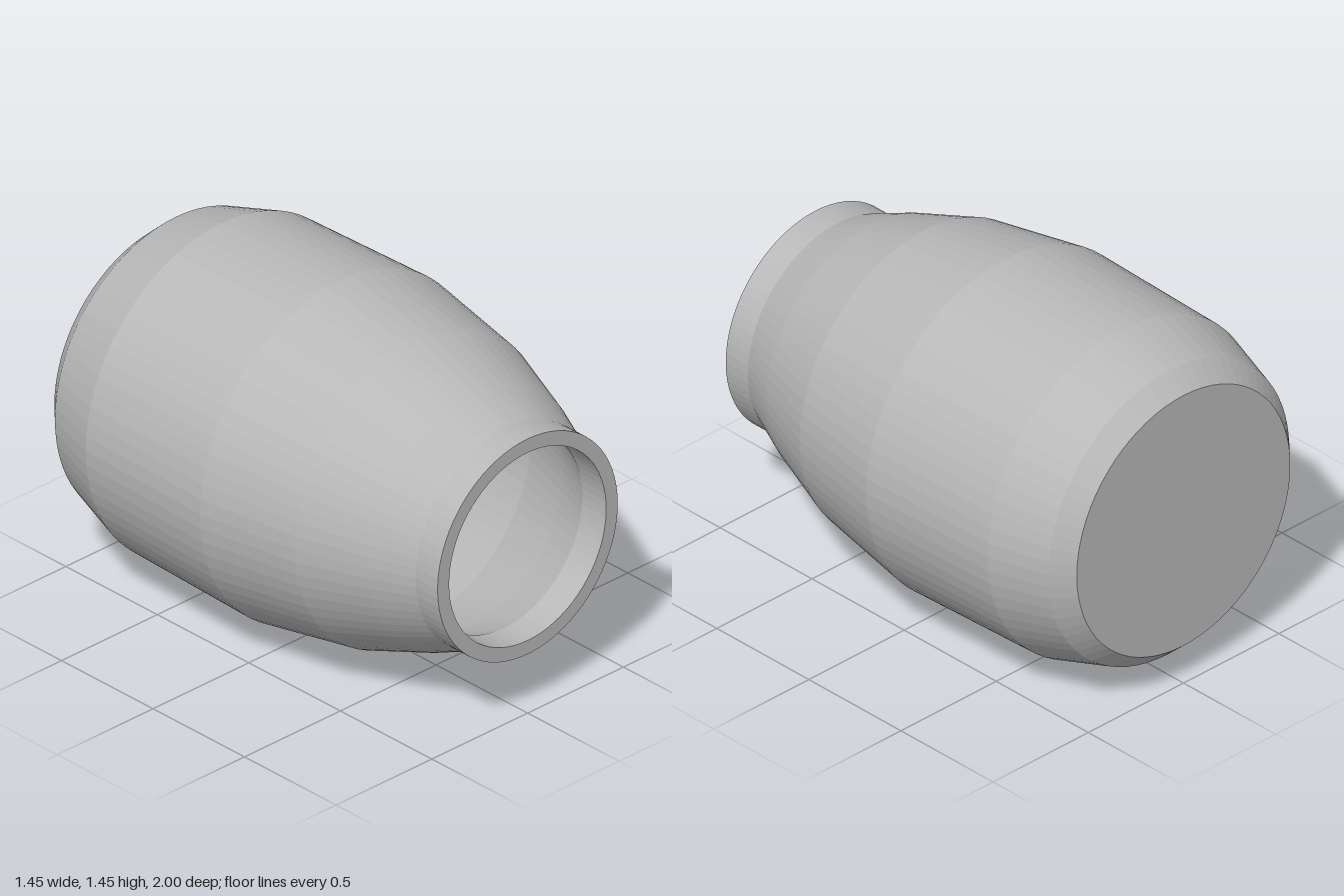
import * as THREE from 'three';

const SIDES = 72;
const CENTER_Y = 0.728;

// Faceted surface of revolution about the z axis, from [radius, z] pairs
function turned(name, profile, material) {
  const points = profile.map(([r, z]) => new THREE.Vector2(r, z));
  const geometry = new THREE.LatheGeometry(points, SIDES).toNonIndexed();
  geometry.rotateX(Math.PI / 2);
  geometry.computeVertexNormals();
  const mesh = new THREE.Mesh(geometry, material);
  mesh.name = name;
  mesh.position.y = CENTER_Y;
  return mesh;
}

export function createModel() {
  const grey = new THREE.MeshStandardMaterial({ color: 0xb8b8b8 });
  grey.name = 'plain grey';

  const group = new THREE.Group();
  group.name = 'barrelVessel';

  // Closed back with its chamfer, then the bulging wall up to the neck
  group.add(turned('outerShell', [
    [0, -1], [0.56, -1], [0.633, -0.92], [0.711, -0.67], [0.727, -0.03],
    [0.652, 0.41], [0.548, 0.7], [0.47, 0.88],
  ], grey));

  // Straight neck, flat rim and inside of the mouth
  group.add(turned('neck', [
    [0.47, 0.88], [0.47, 1], [0.41, 1], [0.41, 0.87],
  ], grey));

  // Hollow inside, following the outer wall down to a flat floor
  group.add(turned('innerWall', [
    [0.41, 0.87], [0.488, 0.68], [0.592, 0.4], [0.667, -0.03],
    [0.651, -0.66], [0.58, -0.89], [0.535, -0.94], [0, -0.94],
  ], grey));

  return group;
}
